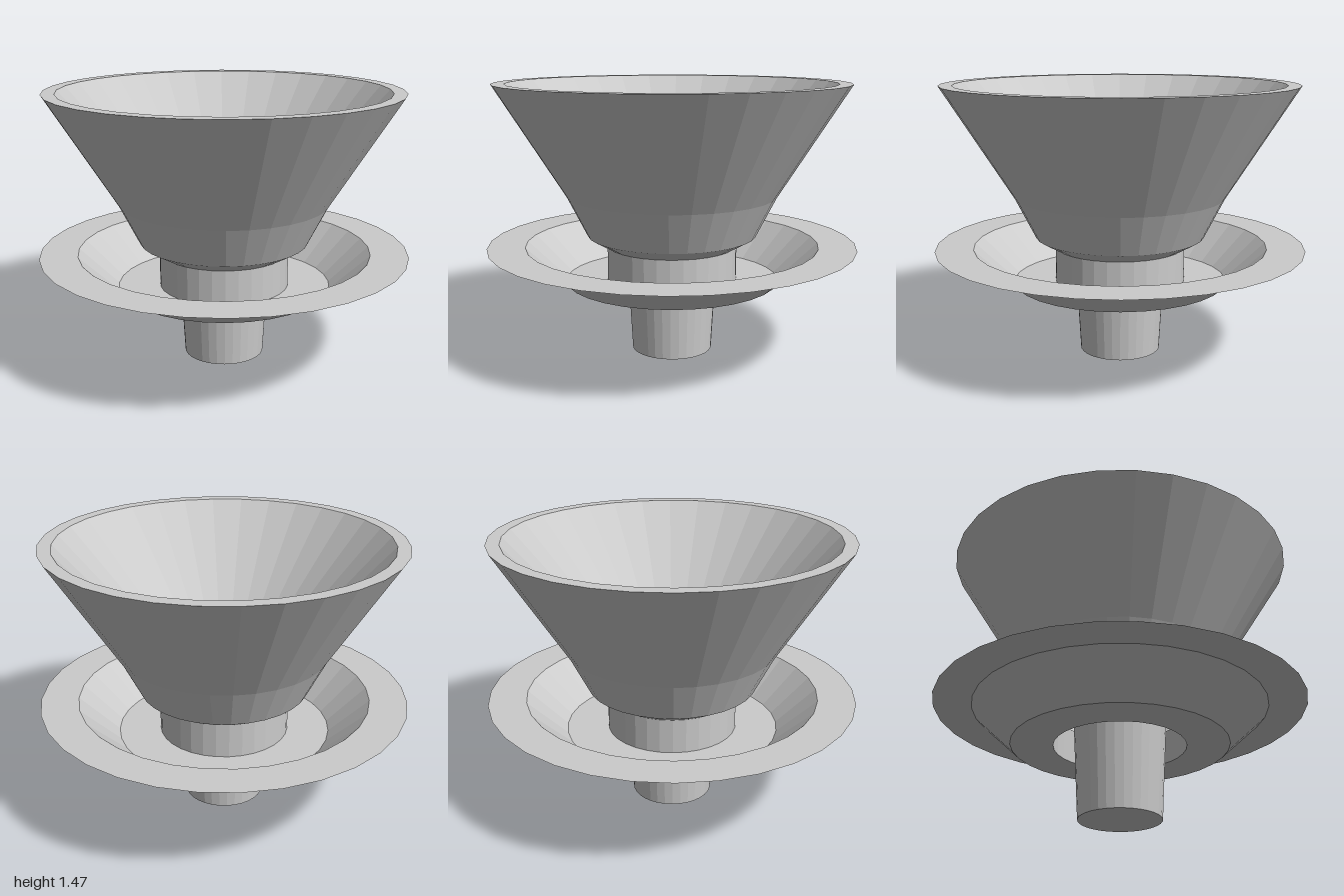
import * as THREE from 'three';

const SIDES = 32;

export function createModel() {
  const model = new THREE.Group();
  const material = new THREE.MeshStandardMaterial({
    color: 0xcccccc, flatShading: true, side: THREE.DoubleSide,
  });

  // Revolve a list of [radius, height] points into a thin faceted shell
  const addShell = (name, points) => {
    const profile = points.map(([r, y]) => new THREE.Vector2(r, y));
    const mesh = new THREE.Mesh(new THREE.LatheGeometry(profile, SIDES), material);
    mesh.name = name;
    model.add(mesh);
  };

  // Outside of the cone, with its bevelled foot
  addShell('outerCone', [[0.355, 0.59], [0.46, 0.65], [0.57, 0.87], [0.945, 1.47]]);

  // Flat lip joining the outer and inner walls
  addShell('rim', [[0.945, 1.47], [0.875, 1.47]]);

  // Inside of the cone, running down to the spout
  addShell('innerCone', [[0.875, 1.47], [0.262, 0.78]]);

  // Tapered spout with a closed end
  addShell('spout', [[0, 0], [0.22, 0], [0.262, 0.78]]);

  // Collar carrying the cone above the saucer
  addShell('collar', [[0.355, 0.4], [0.355, 0.59]]);

  // Dished saucer with an open centre and a flat flange
  addShell('saucer', [[0.355, 0.4], [0.583, 0.4], [0.797, 0.6], [1, 0.6]]);

  return model;
}
